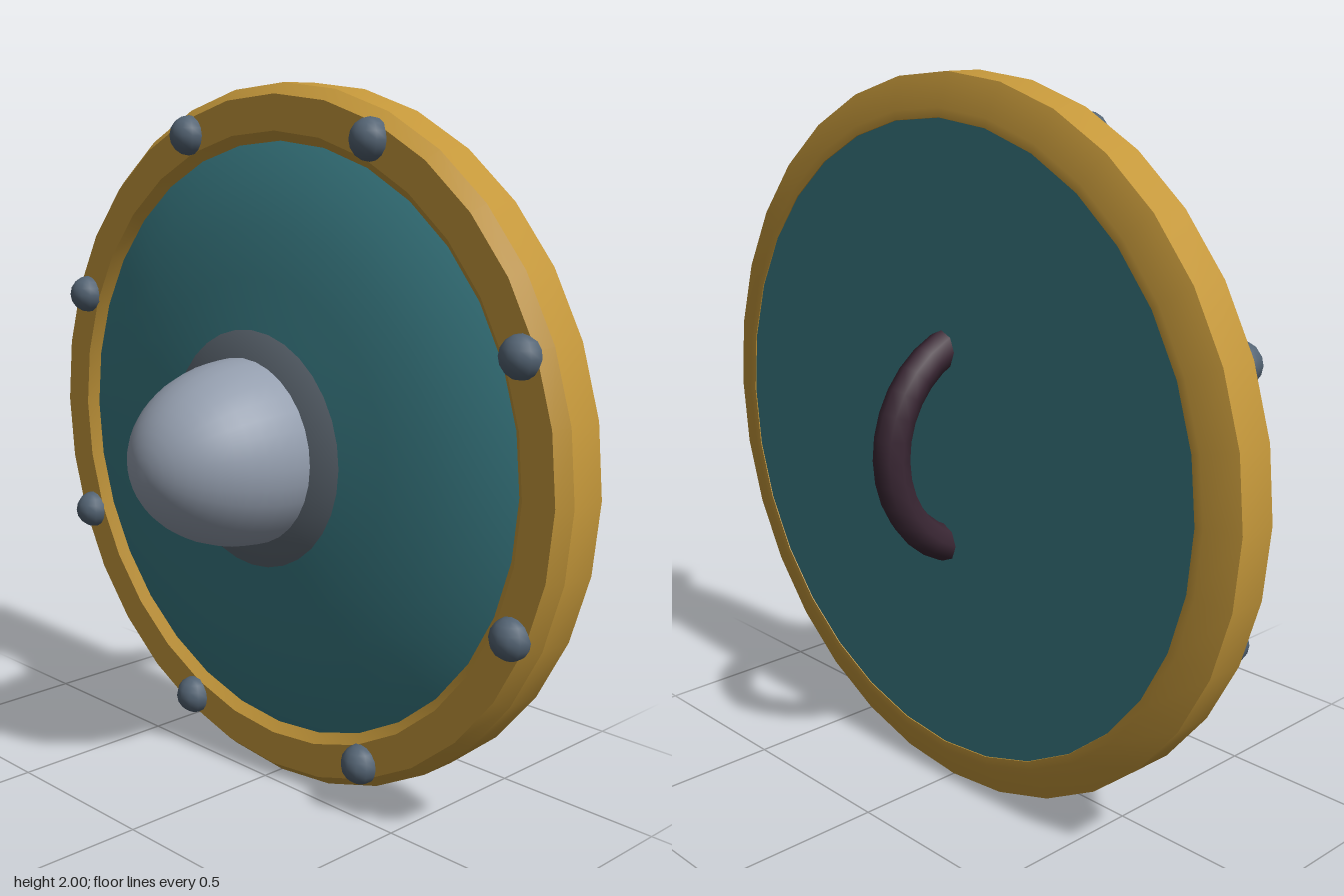
import * as THREE from 'three';
import { toCreasedNormals } from 'three/addons/utils/BufferGeometryUtils.js';

const mat = (name, color) => new THREE.MeshStandardMaterial({ name, color });

// Revolve [radius, z] points around the z axis, keeping hard edges crisp
function turned(points, crease = 0.5, segments = 32) {
  const profile = points.map(([r, z]) => new THREE.Vector2(r, z));
  const geometry = new THREE.LatheGeometry(profile, segments).rotateX(Math.PI / 2);
  return toCreasedNormals(geometry, crease);
}

export function createModel() {
  const gold = mat('gold rim', 0xc4973a);
  const teal = mat('teal board', 0x3a7d86);
  const steel = mat('pale steel', 0x949eae);
  const collarGrey = mat('collar grey', 0x5d6771);
  const rivetGrey = mat('rivet grey', 0x546474);
  const leather = mat('dark leather', 0x3a2734);

  const shield = new THREE.Group();
  shield.name = 'roundShield';
  shield.position.y = 1;
  const add = (name, geometry, material) => {
    const mesh = new THREE.Mesh(geometry, material);
    mesh.name = name;
    shield.add(mesh);
    return mesh;
  };

  // Domed board with a flat back
  add('board', turned([
    [0, -0.21], [0.89, -0.21], [0.89, -0.08], [0.84, -0.055], [0.74, -0.018],
    [0.62, 0.015], [0.48, 0.035], [0.335, 0.052], [0.26, 0.06], [0, 0.06],
  ]), teal);

  // Bevelled rim, a closed ring section
  add('rim', turned([
    [0.84, -0.1], [0.885, -0.212], [0.91, -0.212], [1, -0.18], [1, -0.068],
    [0.97, -0.032], [0.872, -0.032], [0.842, -0.06], [0.84, -0.1],
  ]), gold);

  // Collar around the boss
  add('collar', turned([[0.34, 0.05], [0.27, 0.084], [0, 0.084]]), collarGrey);

  // Central boss, a stretched half dome
  const boss = new THREE.SphereGeometry(0.262, 32, 12, 0, Math.PI * 2, 0, Math.PI / 2);
  boss.rotateX(Math.PI / 2).scale(1, 1, 1.375);
  add('boss', boss, steel).position.z = 0.08;

  // Eight rivets around the rim
  const rivet = new THREE.SphereGeometry(0.057, 12, 8);
  for (let i = 0; i < 8; i++) {
    const a = (i + 0.5) * Math.PI / 4;
    add('rivet' + (i + 1), rivet, rivetGrey)
      .position.set(0.925 * Math.cos(a), 0.925 * Math.sin(a), -0.032);
  }

  // Curved grip on the back, its ends sunk into the board
  const grip = new THREE.TorusGeometry(0.3, 0.05, 8, 16, Math.PI);
  grip.rotateZ(Math.PI / 2).rotateY(-Math.PI / 2);
  add('grip', grip, leather).position.z = -0.09;

  const model = new THREE.Group();
  model.name = 'shieldModel';
  model.add(shield);
  return model;
}
